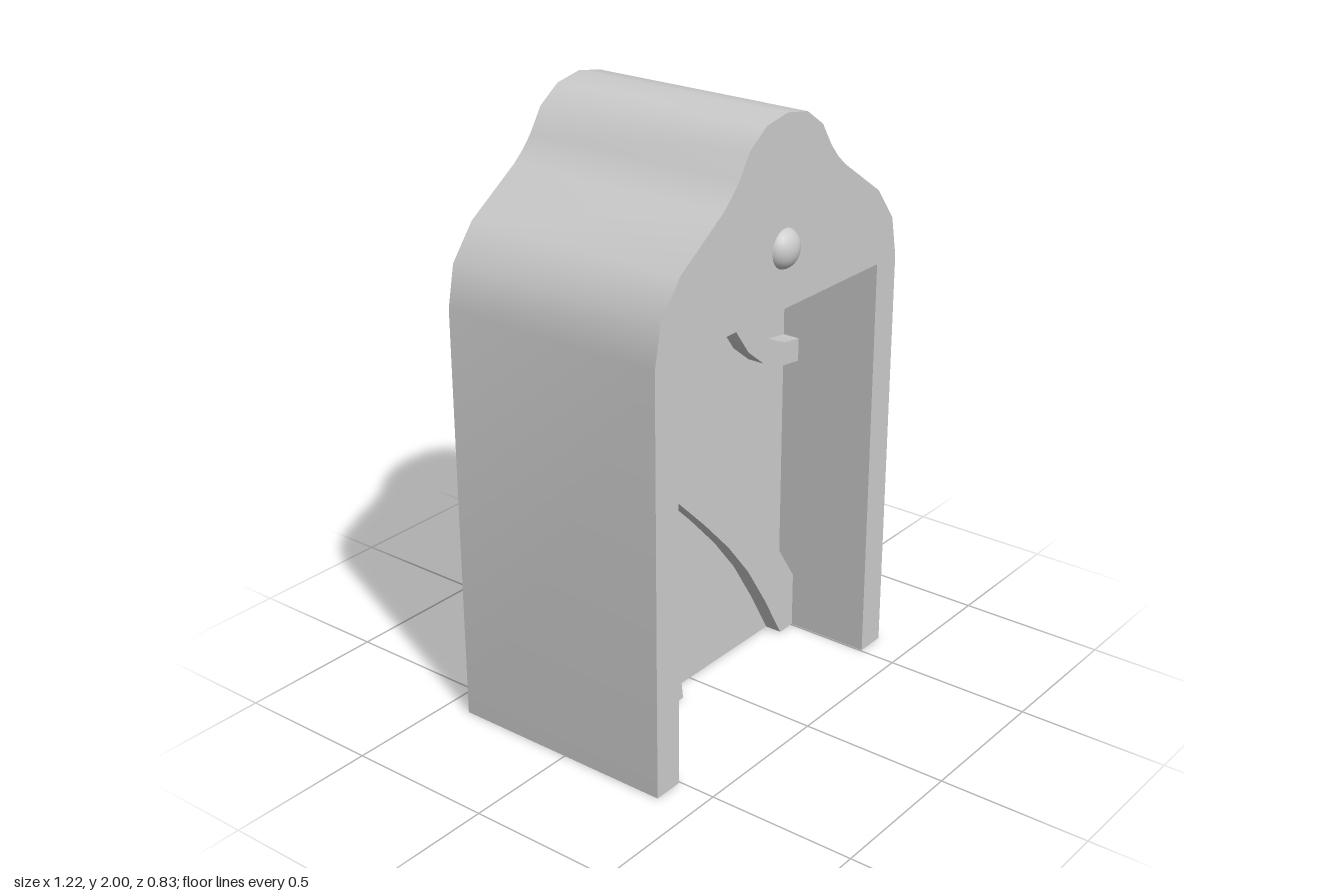
import * as THREE from 'three';
import { toCreasedNormals } from 'three/addons/utils/BufferGeometryUtils.js';

const HALF = 0.505;      // half width of the doorway
const DOOR_TOP = 1.4;
const MID_Z = -0.02;     // middle of the depth

const material = new THREE.MeshStandardMaterial({ color: 0xcccccc, side: THREE.DoubleSide });

// The shell has no underside: drop every triangle that lies on y = 0
function openBottom(geometry) {
  const p = geometry.attributes.position;
  const kept = [];
  for (let i = 0; i < p.count; i += 3) {
    if (Math.max(p.getY(i), p.getY(i + 1), p.getY(i + 2)) < 1e-4) continue;
    for (let j = i; j < i + 3; j++) kept.push(p.getX(j), p.getY(j), p.getZ(j));
  }
  const open = new THREE.BufferGeometry();
  open.setAttribute('position', new THREE.Float32BufferAttribute(kept, 3));
  return open;
}

// Extrude an outline evenly to both sides of the middle plane
function slab(name, points, depth) {
  const shape = new THREE.Shape(points.map(([x, y]) => new THREE.Vector2(x, y)));
  const solid = new THREE.ExtrudeGeometry(shape, { depth, bevelEnabled: false });
  solid.translate(0, 0, MID_Z - depth / 2);
  const mesh = new THREE.Mesh(toCreasedNormals(openBottom(solid), 0.6), material);
  mesh.name = name;
  return mesh;
}

// Quarter ring around a corner of the panel; sx, sy point into the panel
function quarterRing(cx, cy, sx, sy) {
  const arc = (r) => Array.from({ length: 7 }, (_, i) => {
    const a = (i / 6) * Math.PI / 2;
    const x = i === 6 ? 0 : Math.cos(a), y = i === 0 ? 0 : Math.sin(a);
    return [cx + sx * r * x, cy + sy * (r + 0.01) * y];
  });
  return [...arc(0.393), ...arc(0.313).reverse()];
}

export function createModel() {
  const model = new THREE.Group();
  model.name = 'gabledShrine';

  // Outer shell: curved gable, two side walls and a doorway right through
  const right = [
    [0.61, 0], [0.61, 1.4], [0.583, 1.535], [0.497, 1.645], [0.305, 1.775],
    [0.265, 1.81], [0.23, 1.85], [0.18, 1.927], [0.1, 1.982],
  ];
  const left = right.map(([x, y]) => [-x, y]).reverse();
  const doorway = [[-HALF, 0], [-HALF, DOOR_TOP], [HALF, DOOR_TOP], [HALF, 0]];
  model.add(slab('shell', [...right, [0, 2], ...left, ...doorway], 0.786));

  // Recessed panel across the middle of the doorway
  model.add(slab('panel', doorway, 0.08));

  // Wavy diagonal band, point-symmetric about the panel centre
  const edge = [
    [-HALF, 1.4], [-0.435, 1.4], [-0.34, 1.235], [-0.24, 1.08], [-0.13, 0.945], [0, 0.81],
    [0.13, 0.685], [0.24, 0.57], [0.37, 0.4], [HALF, 0.195],
  ];
  const opposite = edge.map(([x, y]) => [-x, 1.4 - y]);
  model.add(slab('diagonalBand', [...edge, ...opposite], 0.2));

  // Quarter-ring ribs in two opposite corners
  model.add(slab('lowerRib', quarterRing(-HALF, 0, 1, 1), 0.2));
  model.add(slab('upperRib', quarterRing(HALF, DOOR_TOP, -1, -1), 0.2));

  // Flattened round stud on the gable
  const stud = new THREE.Mesh(new THREE.SphereGeometry(0.065, 24, 16), material);
  stud.name = 'gableStud';
  stud.scale.z = 0.8;
  stud.position.set(0, 1.59, 0.361);
  model.add(stud);

  return model;
}
